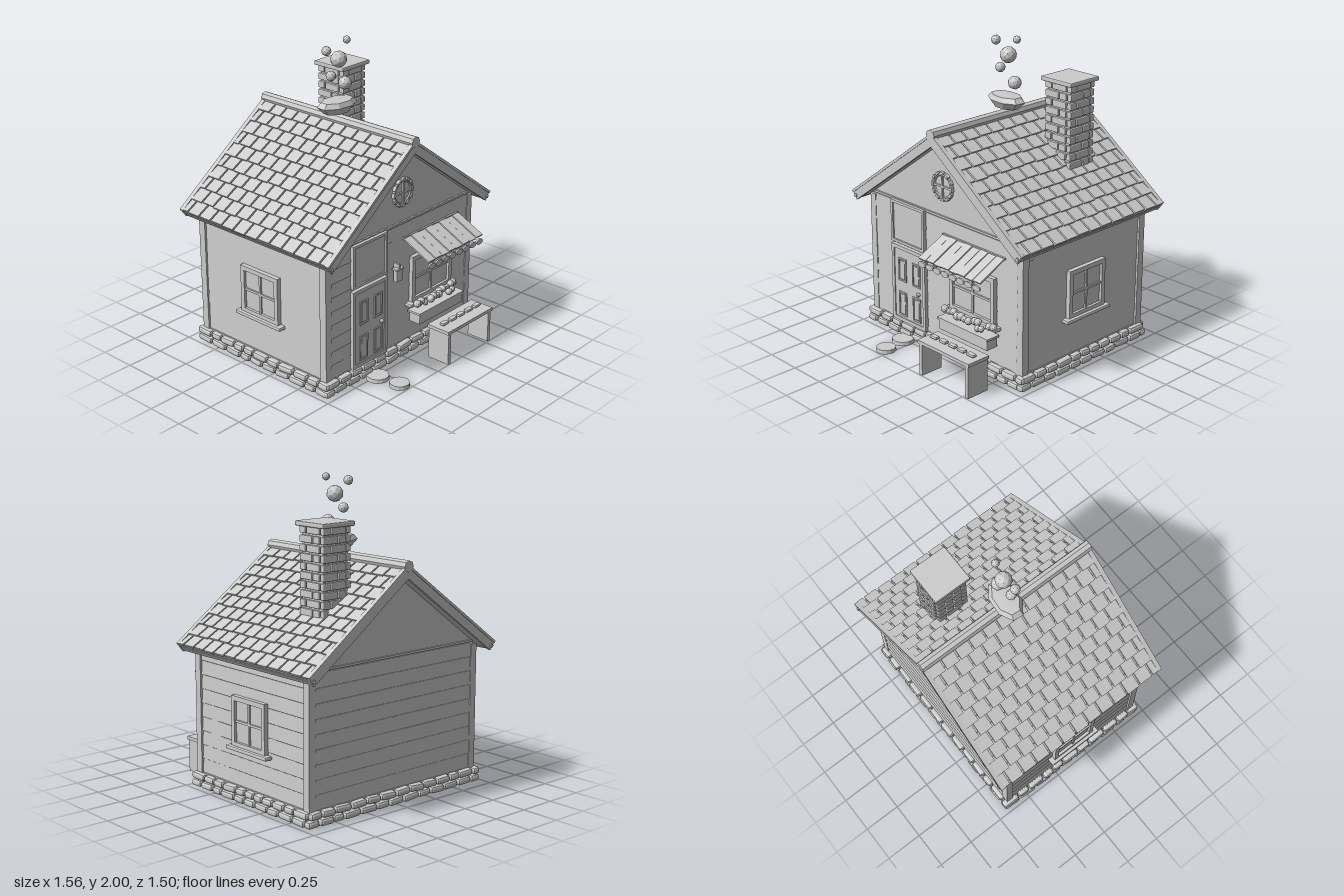
import * as THREE from 'three';
import { RoundedBoxGeometry } from 'three/addons/geometries/RoundedBoxGeometry.js';

const mat = new THREE.MeshStandardMaterial({ color: 0xcccccc, flatShading: true });
const CZ = -0.105; // centre of the house along z

let seed = 7;
const rnd = () => (seed = (seed * 16807) % 2147483647) / 2147483647;
const vary = (a) => (rnd() - 0.5) * 2 * a;

function add(parent, name, geo, x = 0, y = 0, z = 0) {
  const m = new THREE.Mesh(geo, mat);
  m.name = name;
  m.position.set(x, y, z);
  parent.add(m);
  return m;
}
const box = (p, name, w, h, d, x, y, z) => add(p, name, new THREE.BoxGeometry(w, h, d), x, y, z);
const soft = (p, name, w, h, d, x, y, z, r = 0.012) =>
  add(p, name, new RoundedBoxGeometry(w, h, d, 1, Math.min(r, w / 2.1, h / 2.1, d / 2.1)), x, y, z);
function group(parent, name, x = 0, y = 0, z = 0) {
  const g = new THREE.Group();
  g.name = name;
  g.position.set(x, y, z);
  parent.add(g);
  return g;
}

// Foundation slab with two courses of loose stones around it
function foundation(root) {
  const g = group(root, 'foundation', 0, 0, CZ);
  box(g, 'slab', 1.39, 0.1, 1.09, 0, 0.052, 0);
  for (let k = 0; k < 4; k++) {
    const side = group(g, 'stoneSide');
    side.rotation.y = k * Math.PI / 2;
    const half = k % 2 ? 0.56 : 0.71, out = k % 2 ? 0.7 : 0.55;
    for (let row = 0; row < 2; row++) {
      let a = -half - (row ? 0 : 0.02);
      while (a < half - 0.02) {
        const len = Math.min(0.085 + rnd() * 0.05, half + 0.02 - a);
        const s = soft(side, 'stone', len - 0.008, 0.046, 0.05 + rnd() * 0.012,
          a + len / 2, 0.027 + row * 0.048, out, 0.016);
        s.rotation.set(vary(0.08), vary(0.06), vary(0.05));
        a += len;
      }
    }
  }
}

// Solid body with gables, lapped siding and corner posts
function walls(root) {
  const g = group(root, 'walls', 0, 0, CZ);
  const s = new THREE.Shape();
  s.moveTo(-0.68, 0.05); s.lineTo(0.68, 0.05); s.lineTo(0.68, 0.925);
  s.lineTo(0, 1.42); s.lineTo(-0.68, 0.925);
  add(g, 'body', new THREE.ExtrudeGeometry(s, { depth: 1.07, bevelEnabled: false }), 0, 0, -0.535);
  for (let k = 0; k < 4; k++) {
    const side = group(g, 'siding');
    side.rotation.y = k * Math.PI / 2;
    const len = k % 2 ? 1.05 : 1.33, out = k % 2 ? 0.682 : 0.537;
    for (let i = 0; i < 9; i++) {
      box(side, 'plank', len, 0.088, 0.012, 0, 0.147 + i * 0.091, out).rotation.x = -0.06;
    }
    if (k % 2 === 0) box(side, 'gableTrim', 1.33, 0.014, 0.02, 0, 0.932, 0.536);
  }
  for (const x of [-1, 1]) for (const z of [-1, 1])
    box(g, 'cornerPost', 0.05, 0.82, 0.05, x * 0.676, 0.5, z * 0.522);
}

// Two roof slopes with staggered shingles, bargeboards and a ridge cap
function roof(root) {
  const g = group(root, 'roof', 0, 1.48, CZ);
  const angle = Math.atan2(0.56, 0.77);
  for (const turn of [0, Math.PI]) {
    const wrap = group(g, 'roofSide');
    wrap.rotation.y = turn;
    const slope = group(wrap, 'slope');
    slope.rotation.z = -angle;
    box(slope, 'deck', 0.94, 0.035, 1.24, 0.47, -0.032, 0);
    for (let r = 0; r < 10; r++) {
      const x = 0.055 + r * 0.094;
      const n = 12, w = 1.235 / n, odd = r % 2;
      for (let i = 0; i < n + odd; i++) {
        const a = Math.max(-0.6175, -0.6175 + (i - odd / 2) * w);
        const b = Math.min(0.6175, -0.6175 + (i + 1 - odd / 2) * w);
        const t = box(slope, 'shingle', 0.118 + vary(0.008), 0.014, b - a - 0.012,
          x - 0.008, 0.0, (a + b) / 2);
        t.rotation.z = 0.11 + vary(0.015);
      }
    }
    for (const z of [-0.625, 0.625]) {
      box(slope, 'bargeboard', 0.955, 0.062, 0.02, 0.475, -0.026, z);
      box(slope, 'bargeTrim', 0.955, 0.016, 0.03, 0.475, 0.004, z);
    }
    box(slope, 'eaveBoard', 0.016, 0.045, 1.25, 0.942, -0.03, 0);
    const beam = add(slope, 'eaveBeam', new THREE.CylinderGeometry(0.013, 0.013, 1.285, 6), 0.94, -0.03, 0);
    beam.rotation.x = Math.PI / 2;
  }
  const cap = add(g, 'ridgeCap', new THREE.CylinderGeometry(0.036, 0.036, 1.28, 8), 0, 0.004, 0);
  cap.rotation.x = Math.PI / 2;
}

// Brick chimney laid in a pinwheel bond
function chimney(root) {
  const g = group(root, 'chimney', 0.312, 0, -0.35);
  box(g, 'core', 0.19, 0.58, 0.19, 0, 1.43, 0);
  for (let r = 0; r < 10; r++) {
    for (let k = 0; k < 4; k++) {
      const side = group(g, 'brickSide');
      side.rotation.y = k * Math.PI / 2;
      const first = r % 2 ? 0.06 : 0.12, y = 1.2 + r * 0.055;
      soft(side, 'brick', first - 0.008, 0.044, 0.036, -0.11 + first / 2, y, 0.093, 0.006);
      soft(side, 'brick', 0.176 - first, 0.044, 0.036, -0.11 + first + (0.184 - first) / 2, y, 0.093, 0.006);
    }
  }
  soft(g, 'capStone', 0.258, 0.03, 0.255, 0, 1.73, 0.002, 0.008);
}

// Drifting smoke: one flat cloud and five puffs
function smoke(root) {
  const g = group(root, 'smoke', 0, 0, CZ);
  const pts = [[0, 1.53], [0.1, 1.53], [0.15, 1.578], [0.12, 1.608], [0, 1.612]].map((p) => new THREE.Vector2(...p));
  const cloud = add(g, 'cloud', new THREE.LatheGeometry(pts, 8, Math.PI / 8));
  cloud.scale.z = 0.6;
  cloud.rotation.y = -0.08;
  for (const [x, y, r] of [[0.073, 1.7, 0.043], [-0.055, 1.775, 0.033], [0.016, 1.867, 0.053],
    [-0.095, 1.943, 0.031], [0.09, 1.976, 0.025]])
    add(g, 'puff', new THREE.IcosahedronGeometry(r, 1), x, y, 0).rotation.set(r * 20, r * 40, 0);
}

// Rectangular frame around a pane, facing +z
function frame(g, w, h, t, d) {
  for (const s of [-1, 1]) {
    box(g, 'frameSide', t, h, d, s * (w - t) / 2, 0, d / 2);
    box(g, 'frameRail', w - 2 * t, t, d, 0, s * (h - t) / 2, d / 2);
  }
}
function windowAt(root, x, y, z, turn, w, h) {
  const g = group(root, 'window', x, y, z);
  g.rotation.y = turn;
  frame(g, w, h, 0.03, 0.03);
  box(g, 'pane', w - 0.04, h - 0.04, 0.012, 0, 0, 0.006);
  box(g, 'mullion', 0.015, h - 0.05, 0.022, 0, 0, 0.011);
  box(g, 'crossbar', w - 0.05, 0.015, 0.022, 0, 0, 0.011);
  soft(g, 'sill', w + 0.07, 0.025, 0.055, 0, -h / 2 - 0.008, 0.024, 0.008);
}

// Round attic window with a ring of small stones
function roundWindow(root) {
  const g = group(root, 'roundWindow', 0, 1.135, 0.432);
  add(g, 'ring', new THREE.TorusGeometry(0.078, 0.013, 6, 24));
  add(g, 'pane', new THREE.CircleGeometry(0.075, 24), 0, 0, 0.004);
  box(g, 'mullion', 0.012, 0.15, 0.02, 0, 0, 0.005);
  box(g, 'crossbar', 0.15, 0.012, 0.02, 0, 0, 0.005);
  for (let i = 0; i < 12; i++) {
    const a = i * Math.PI / 6;
    soft(g, 'ringStone', 0.018, 0.034, 0.03, Math.cos(a) * 0.086, Math.sin(a) * 0.086, 0.004, 0.006).rotation.z = a;
  }
}

// Panelled door, panel above it, and wall lamp
function entrance(root) {
  const door = group(root, 'door', -0.318, 0.365, 0.436);
  frame(door, 0.32, 0.53, 0.024, 0.026);
  box(door, 'leaf', 0.28, 0.5, 0.02, 0, -0.005, 0.01);
  for (const x of [-0.06, 0.075]) for (const [y, h] of [[0.1, 0.16], [-0.14, 0.17]]) {
    const p = group(door, 'doorPanel', x, y, 0.018);
    frame(p, 0.075, h, 0.01, 0.008);
    soft(p, 'panelField', 0.046, h - 0.03, 0.008, 0, 0, 0.004, 0.003);
  }
  add(door, 'knob', new THREE.IcosahedronGeometry(0.015, 1), 0.1, -0.022, 0.032);
  const over = group(root, 'overDoorPanel', -0.32, 0.79, 0.436);
  frame(over, 0.315, 0.285, 0.018, 0.026);
  box(over, 'pane', 0.29, 0.26, 0.014, 0, 0, 0.008);
  const lamp = group(root, 'lamp', -0.075, 0.61, 0.472);
  soft(lamp, 'lampBody', 0.055, 0.08, 0.032, 0, 0, 0, 0.006);
  box(lamp, 'lampCap', 0.068, 0.012, 0.042, 0, 0.045, 0);
  box(lamp, 'lampBracket', 0.014, 0.03, 0.05, 0, 0.062, -0.012);
}

// Slatted awning with a scalloped hem
function awning(root) {
  const g = group(root, 'awning', 0.278, 0, 0);
  for (let i = 0; i < 8; i++) {
    const x = (i - 3.5) * 0.069;
    box(g, 'slat', 0.064, 0.01, 0.234, x, 0.773 + (i % 2) * 0.004, 0.543).rotation.x = 0.45;
    const hem = add(g, 'scallop', new THREE.CylinderGeometry(0.033, 0.033, 0.012, 12), x, 0.69, 0.648);
    hem.rotation.x = Math.PI / 2;
    hem.scale.z = 0.58;
  }
  box(g, 'awningRail', 0.55, 0.012, 0.012, 0, 0.825, 0.445);
}

// Window box with blossoms
function flowerBox(root) {
  const g = group(root, 'flowerBox', 0.28, 0, 0.5);
  soft(g, 'planter', 0.44, 0.075, 0.09, 0, 0.268, 0, 0.008);
  box(g, 'planterRim', 0.455, 0.014, 0.1, 0, 0.305, 0);
  for (let i = 0; i < 14; i++) {
    add(g, 'blossom', new THREE.IcosahedronGeometry(0.019 + rnd() * 0.008, 1),
      -0.2 + i * 0.031, 0.332 + rnd() * 0.035, vary(0.025));
  }
}

// Bench with small cushions
function bench(root) {
  const g = group(root, 'bench', 0.325, 0, 0.665);
  box(g, 'seat', 0.46, 0.022, 0.17, 0, 0.226, 0);
  for (const x of [-0.207, 0.207]) box(g, 'leg', 0.025, 0.216, 0.16, x, 0.108, 0);
  for (let i = 0; i < 5; i++) soft(g, 'cushion', 0.06, 0.02, 0.035, -0.165 + i * 0.083, 0.25, 0, 0.008);
}

export function createModel() {
  const root = new THREE.Group();
  root.name = 'cottage';
  foundation(root);
  walls(root);
  roof(root);
  chimney(root);
  smoke(root);
  roundWindow(root);
  entrance(root);
  windowAt(root, 0.277, 0.515, 0.436, 0, 0.4, 0.32);
  windowAt(root, 0.69, 0.515, CZ, Math.PI / 2, 0.32, 0.32);
  windowAt(root, -0.69, 0.515, CZ, -Math.PI / 2, 0.32, 0.32);
  awning(root);
  flowerBox(root);
  bench(root);
  // Stepping stones
  for (const [x, z, r] of [[-0.315, 0.52, 0.075], [-0.295, 0.68, 0.066]])
    add(root, 'steppingStone', new THREE.CylinderGeometry(r * 0.95, r, 0.025, 14), x, 0.0125, z);
  return root;
}
